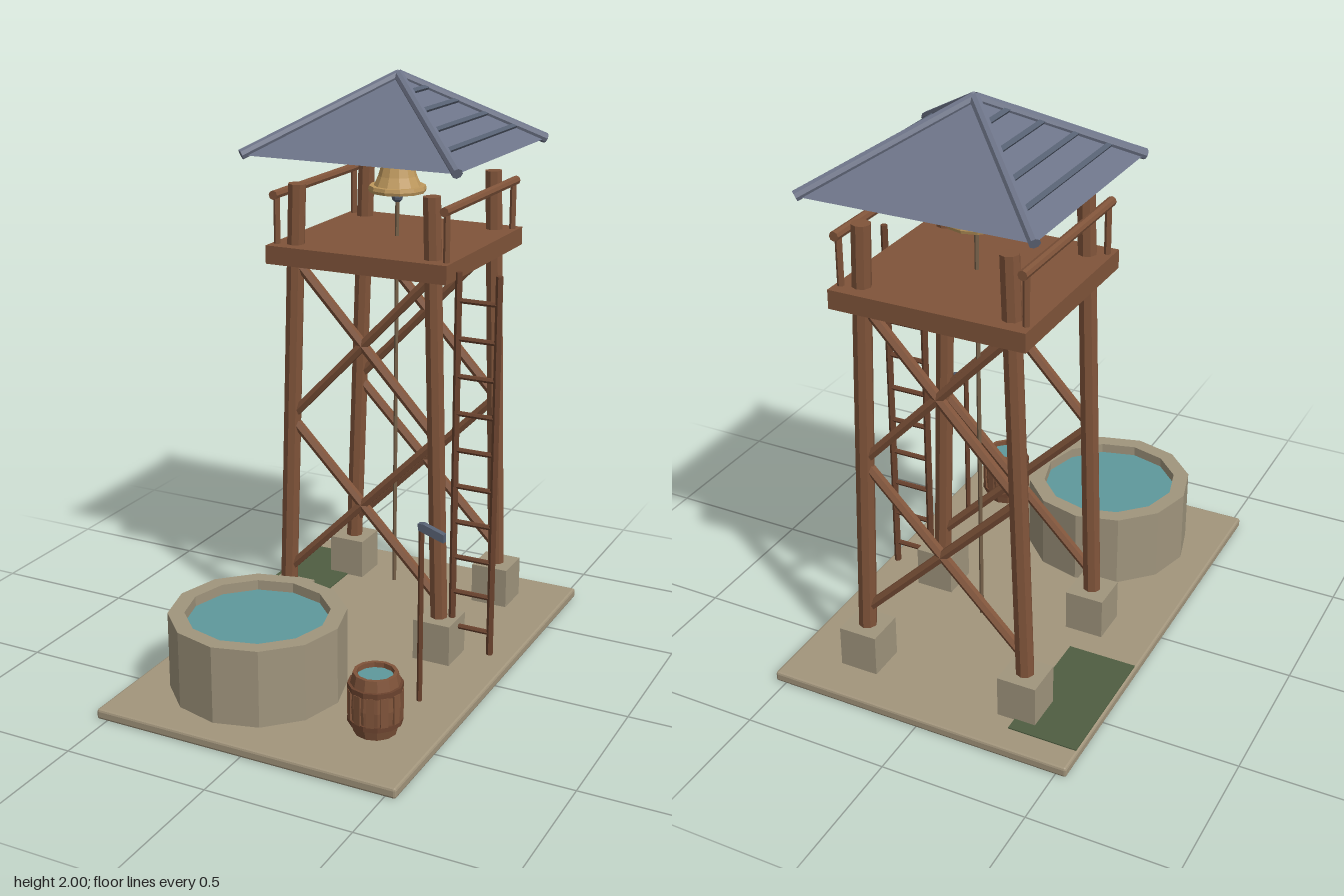
import * as THREE from 'three';
import { RoundedBoxGeometry } from 'three/addons/geometries/RoundedBoxGeometry.js';

const paint = (name, color) => {
  const m = new THREE.MeshStandardMaterial({ color });
  m.name = name;
  return m;
};

export function createModel() {
  const root = new THREE.Group();
  root.name = 'bellTower';

  const wood = paint('wood', 0x80543a);
  const darkWood = paint('dark wood', 0x6b432e);
  const ground = paint('packed earth', 0xa2957c);
  const stone = paint('stone', 0xa0957d);
  const slate = paint('slate', 0x6d7488);
  const iron = paint('iron', 0x566072);
  const brass = paint('brass', 0xc09a5e);
  const water = paint('water', 0x5f999c);
  const moss = paint('moss', 0x4f5e41);
  const ropeTan = paint('rope', 0x78624a);

  const V = (x, y, z) => new THREE.Vector3(x, y, z);

  // Faceted mesh: split the faces so that each has its own flat normal
  const add = (name, geometry, material, x = 0, y = 0, z = 0, parent = root) => {
    const g = geometry.index ? geometry.toNonIndexed() : geometry;
    g.computeVertexNormals();
    const mesh = new THREE.Mesh(g, material);
    mesh.name = name;
    mesh.position.set(x, y, z);
    parent.add(mesh);
    return mesh;
  };
  const box = (name, material, w, h, d, x, y, z, parent) =>
    add(name, new THREE.BoxGeometry(w, h, d), material, x, y, z, parent);

  // Round pole between two points
  const pole = (name, material, a, b, r, sides = 8, parent = root) => {
    const dir = b.clone().sub(a);
    const mesh = add(name, new THREE.CylinderGeometry(r, r, dir.length(), sides), material, 0, 0, 0, parent);
    mesh.position.copy(a).add(b).multiplyScalar(0.5);
    mesh.quaternion.setFromUnitVectors(V(0, 1, 0), dir.normalize());
    return mesh;
  };
  const lathe = (name, material, profile, sides, x, z, parent) =>
    add(name, new THREE.LatheGeometry(profile.map(p => new THREE.Vector2(...p)), sides), material, x, 0, z, parent);

  const group = name => {
    const g = new THREE.Group();
    g.name = name;
    root.add(g);
    return g;
  };

  const CZ = -0.325;                                  // tower centre in z
  const legX = y => 0.30 - 0.0335 * y;                // legs lean inwards

  // Ground slab and moss patch
  add('groundSlab', new RoundedBoxGeometry(1.075, 0.035, 1.585, 1, 0.008), ground, 0, 0.0175, 0);
  box('mossPatch', moss, 0.24, 0.006, 0.47, -0.41, 0.036, -0.465);

  // Legs on stone footings
  const frame = group('towerFrame');
  for (const z of [CZ + 0.26, CZ - 0.26]) {
    for (const s of [-1, 1]) {
      box('footing', stone, 0.135, 0.147, 0.135, s * 0.295, 0.1065, z, frame);
      pole('leg', wood, V(s * legX(0.12), 0.12, z), V(s * legX(1.64), 1.64, z), 0.031, 8, frame);
      // Two crossed braces, one above the other
      for (const [lo, hi] of [[0.245, 0.815], [0.825, 1.38]])
        pole('brace', wood, V(-s * legX(lo), lo, z), V(s * legX(hi), hi, z), 0.018, 6, frame);
    }
  }

  // Platform with a handrail on either side
  const deck = group('platform');
  box('deck', wood, 0.66, 0.063, 0.66, 0, 1.404, CZ, deck);
  for (const s of [-1, 1]) {
    for (const dz of [-0.285, 0.285])
      pole('railPost', wood, V(s * 0.31, 1.43, CZ + dz), V(s * 0.31, 1.6, CZ + dz), 0.011, 6, deck);
    pole('handrail', wood, V(s * 0.31, 1.603, CZ - 0.31), V(s * 0.31, 1.603, CZ + 0.31), 0.016, 8, deck);
  }

  // Pyramid roof with hip ridges and battens on the side slopes
  const roof = group('roof');
  const half = 0.382, eave = 1.742, apex = 1.982;
  const pyramid = new THREE.ConeGeometry(half * Math.SQRT2, apex - eave, 4).rotateY(Math.PI / 4);
  add('roofPyramid', pyramid, slate, 0, (eave + apex) / 2, CZ, roof);
  for (const sx of [-1, 1]) {
    for (const sz of [-1, 1])
      pole('hipRidge', slate, V(0, apex, CZ), V(sx * 0.385, eave + 0.002, CZ + sz * 0.385), 0.018, 8, roof);
    for (const t of [0.2, 0.4, 0.6, 0.8]) {
      const batten = box('batten', iron, 0.016, 0.014, 2 * t * half,
        sx * t * half, apex - t * (apex - eave) + 0.003, CZ, roof);
      batten.rotation.z = -sx * Math.atan2(apex - eave, half);
    }
  }

  // Bell, clapper and pull rope
  const bell = group('bell');
  lathe('bellBody', brass, [[0, 1.612], [0.082, 1.61], [0.066, 1.645], [0.053, 1.69], [0.043, 1.695],
    [0.043, 1.735], [0, 1.735]], 12, 0, CZ, bell);
  lathe('bellRim', brass, [[0, 1.59], [0.097, 1.59], [0.1, 1.6], [0.097, 1.612], [0, 1.612]], 12, 0, CZ, bell);
  add('clapper', new THREE.SphereGeometry(0.021, 8, 6), iron, 0, 1.573, CZ, bell);
  pole('pullRope', ropeTan, V(0, 0.15, CZ), V(0, 1.57, CZ), 0.007, 6, bell);

  // Ladder standing beside the front leg
  const ladder = group('ladder');
  for (const x of [0.337, 0.478])
    pole('ladderRail', darkWood, V(x, 0.07, -0.08), V(x, 1.4, -0.08), 0.012, 6, ladder);
  for (let i = 0; i < 10; i++) {
    const y = 0.15 + i * 0.1283;
    pole('rung', darkWood, V(0.337, y, -0.08), V(0.478, y, -0.08), 0.009, 6, ladder);
  }

  // Round stone tank
  const tank = group('waterTank');
  lathe('tankWall', stone, [[0, 0.05], [0.295, 0.05], [0.295, 0.315], [0.24, 0.315], [0.24, 0.25]], 12, -0.14, 0.425, tank);
  lathe('tankWater', water, [[0.24, 0.28], [0, 0.28]], 12, -0.14, 0.425, tank);

  // Barrel with raised staves and two hoops
  const barrel = group('barrel');
  const bx = 0.34, bz = 0.525;
  lathe('barrelBody', wood, [[0, 0.05], [0.07, 0.05], [0.083, 0.1], [0.087, 0.15], [0.083, 0.205],
    [0.072, 0.255], [0.06, 0.255], [0.06, 0.22]], 12, bx, bz, barrel);
  lathe('barrelWater', water, [[0.061, 0.238], [0, 0.238]], 12, bx, bz, barrel);
  for (const y of [0.095, 0.21])
    lathe('hoop', darkWood, [[0.08, y - 0.009], [0.089, y - 0.009], [0.089, y + 0.009], [0.08, y + 0.009]], 12, bx, bz, barrel);
  for (let i = 0; i < 12; i++) {
    const a = (i + 0.5) * Math.PI / 6;
    const stave = box('stave', wood, 0.024, 0.1, 0.008, bx + 0.084 * Math.sin(a), 0.152, bz + 0.084 * Math.cos(a), barrel);
    stave.rotation.y = a;
  }

  // Long-handled tool with a flared iron head
  const tool = group('longTool');
  pole('toolHandle', darkWood, V(0.392, 0.06, 0.307), V(0.392, 0.67, 0.307), 0.009, 6, tool);
  const blade = new THREE.Shape([[0.382, 0.68], [0.385, 0.658], [0.472, 0.63], [0.472, 0.658], [0.4, 0.682]]
    .map(p => new THREE.Vector2(...p)));
  add('toolHead', new THREE.ExtrudeGeometry(blade, { depth: 0.02, bevelEnabled: false }), iron, 0, 0, 0.297, tool);

  return root;
}
